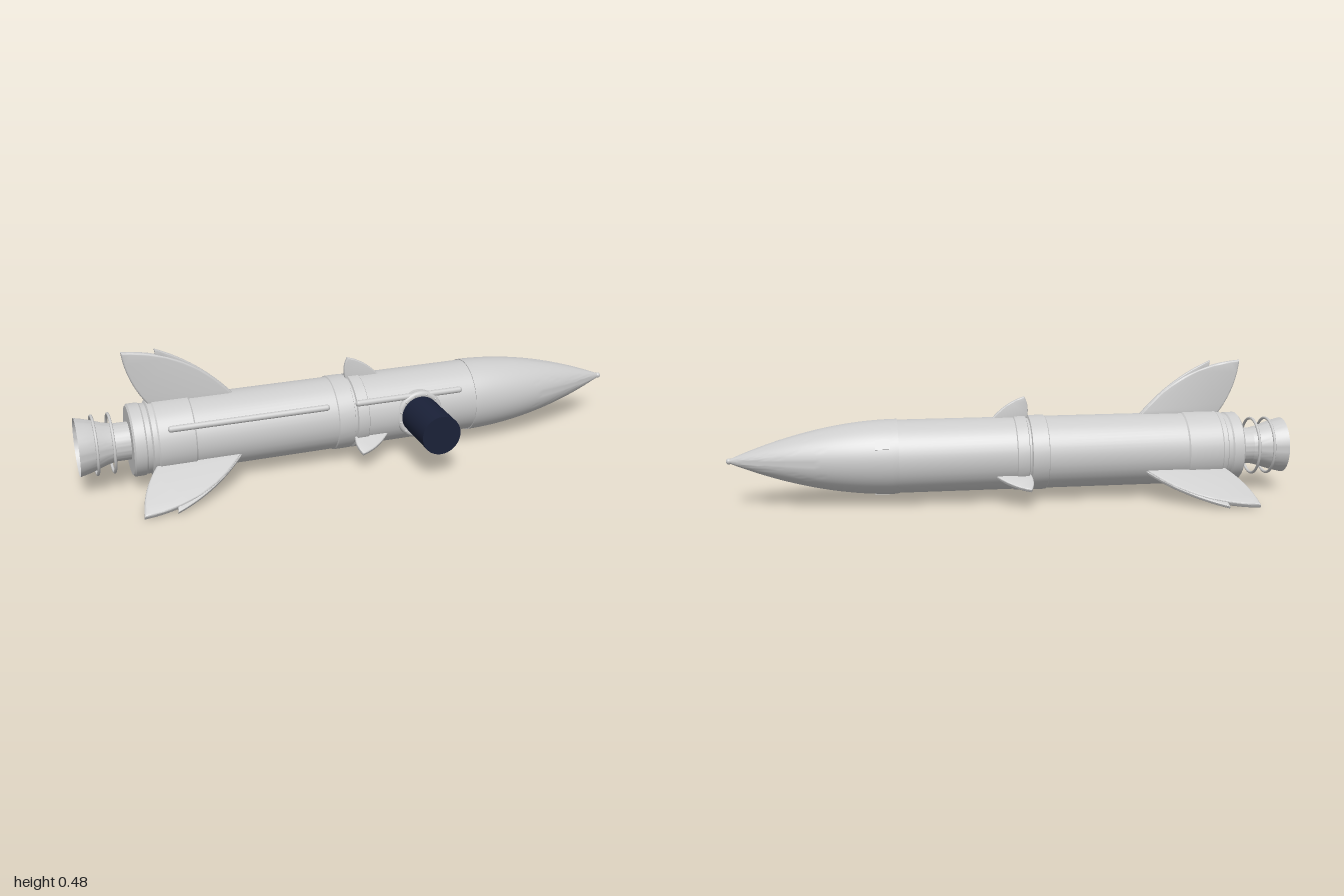
import * as THREE from 'three';
import { toCreasedNormals } from 'three/addons/utils/BufferGeometryUtils.js';

const grey = new THREE.MeshStandardMaterial({ color: 0xcccccc });
const thin = new THREE.MeshStandardMaterial({ color: 0xcccccc, side: THREE.DoubleSide });
const navy = new THREE.MeshStandardMaterial({ color: 0x1a2138 });

export function createModel() {
  const model = new THREE.Group();
  const rocket = new THREE.Group();
  rocket.name = 'rocket';
  rocket.position.set(0, 0.168, -0.022); // long axis of the rocket
  model.add(rocket);

  const add = (name, geometry, material = grey, parent = rocket) => {
    const mesh = new THREE.Mesh(geometry, material);
    mesh.name = name;
    parent.add(mesh);
    return mesh;
  };
  // Turns a profile of [x, radius] points around the x axis
  const revolve = (name, profile, material) => {
    const pts = profile.map(([x, r]) => new THREE.Vector2(r, x));
    const geo = new THREE.LatheGeometry(pts, 64).rotateZ(-Math.PI / 2);
    return add(name, toCreasedNormals(geo, 0.4), material);
  };

  // Hull with its collars and grooves
  revolve('hull', [
    [-0.826, 0], [-0.826, 0.118], [-0.82, 0.125], [-0.785, 0.125], [-0.78, 0.121],
    [-0.765, 0.121], [-0.76, 0.129], [-0.745, 0.129], [-0.74, 0.133], [-0.62, 0.133],
    [-0.615, 0.129], [-0.115, 0.129], [-0.112, 0.133], [-0.055, 0.133], [-0.052, 0.126],
    [-0.045, 0.126], [-0.042, 0.133], [-0.003, 0.133], [0, 0.129], [0.41, 0.129], [0.41, 0],
  ]);

  // Ogive nose and its rounded tip
  const nose = [[0.41, 0]];
  for (let i = 0; i <= 24; i++) {
    const t = i / 24;
    nose.push([0.41 + 0.575 * t, 0.132 - 0.124 * Math.pow(t, 1.95)]);
  }
  revolve('noseCone', nose);
  add('noseTip', new THREE.SphereGeometry(0.0105, 20, 14)).position.x = 0.988;

  // Engine: neck, flared bell and two cooling rings
  revolve('engineNeck', [[-0.885, 0], [-0.885, 0.065], [-0.82, 0.065]]);
  revolve('engineBell', [[-1, 0.1], [-0.97, 0.093], [-0.94, 0.084], [-0.91, 0.073], [-0.88, 0.066]], thin);
  for (const x of [-0.942, -0.886]) {
    const ring = add('engineRing', new THREE.TorusGeometry(0.1, 0.005, 10, 48).rotateY(Math.PI / 2));
    ring.position.x = x;
  }

  // Fins: outlines in the (x, radius) plane
  const plate = (shape, thickness, bevel) => toCreasedNormals(
    new THREE.ExtrudeGeometry(shape, {
      depth: thickness - 2 * bevel, bevelThickness: bevel, bevelSize: bevel,
      bevelOffset: -bevel, bevelSegments: 3, curveSegments: 14,
    }).translate(0, 0, bevel - thickness / 2), 0.6);

  const tail = new THREE.Shape();
  tail.moveTo(-0.46, 0.12);
  tail.quadraticCurveTo(-0.6, 0.302, -0.83, 0.318);
  tail.quadraticCurveTo(-0.82, 0.21, -0.75, 0.12);
  tail.closePath();

  const edge = new THREE.Shape();
  edge.moveTo(-0.455, 0.12);
  edge.quadraticCurveTo(-0.57, 0.256, -0.72, 0.318);
  edge.lineTo(-0.715, 0.285);
  edge.quadraticCurveTo(-0.6, 0.25, -0.5, 0.12);
  edge.closePath();

  const small = new THREE.Shape();
  small.moveTo(0.08, 0.12);
  small.quadraticCurveTo(0.025, 0.185, -0.042, 0.202);
  small.quadraticCurveTo(-0.062, 0.165, -0.05, 0.12);
  small.closePath();

  for (let i = 0; i < 3; i++) {
    const fins = new THREE.Group();
    fins.name = 'finSet';
    fins.rotation.x = (i * Math.PI * 2) / 3;
    rocket.add(fins);
    add('tailFin', plate(tail, 0.02, 0.006), grey, fins);
    add('finLeadingEdge', plate(edge, 0.012, 0.003), grey, fins);
    add('smallFin', plate(small, 0.014, 0.004), grey, fins);
  }

  // Cable rails along the front side
  for (const [x0, x1] of [[-0.71, -0.145], [-0.05, 0.355]]) {
    const rail = add('cableRail', new THREE.CapsuleGeometry(0.011, x1 - x0 - 0.022, 8, 16).rotateZ(Math.PI / 2));
    rail.position.set((x0 + x1) / 2, 0.071, 0.116);
  }

  // Side tube with a bolted flange
  const port = new THREE.Group();
  port.name = 'sidePort';
  port.position.x = 0.19;
  rocket.add(port);
  add('sideTube', new THREE.CylinderGeometry(0.07, 0.07, 0.232, 40).rotateX(Math.PI / 2), navy, port).position.z = 0.206;
  add('flange', new THREE.TorusGeometry(0.075, 0.013, 16, 48), grey, port).position.z = 0.119;
  add('flangeSeat', new THREE.CylinderGeometry(0.086, 0.086, 0.045, 48).rotateX(Math.PI / 2), grey, port).position.z = 0.096;
  for (let i = 0; i < 12; i++) {
    const a = ((i + 0.5) / 12) * Math.PI * 2;
    const bolt = add('flangeBolt', new THREE.SphereGeometry(0.004, 10, 8), grey, port);
    bolt.position.set(Math.cos(a) * 0.078, Math.sin(a) * 0.078, 0.132);
  }

  // Small raised plates at the base of the nose: below, and high on the back
  for (const angle of [Math.PI, -Math.PI / 3]) {
    const holder = new THREE.Group();
    holder.name = 'nosePlate';
    holder.rotation.x = angle;
    rocket.add(holder);
    add('plate', new THREE.BoxGeometry(0.05, 0.012, 0.036), grey, holder).position.set(0.465, 0.1265, 0);
  }
  return model;
}
